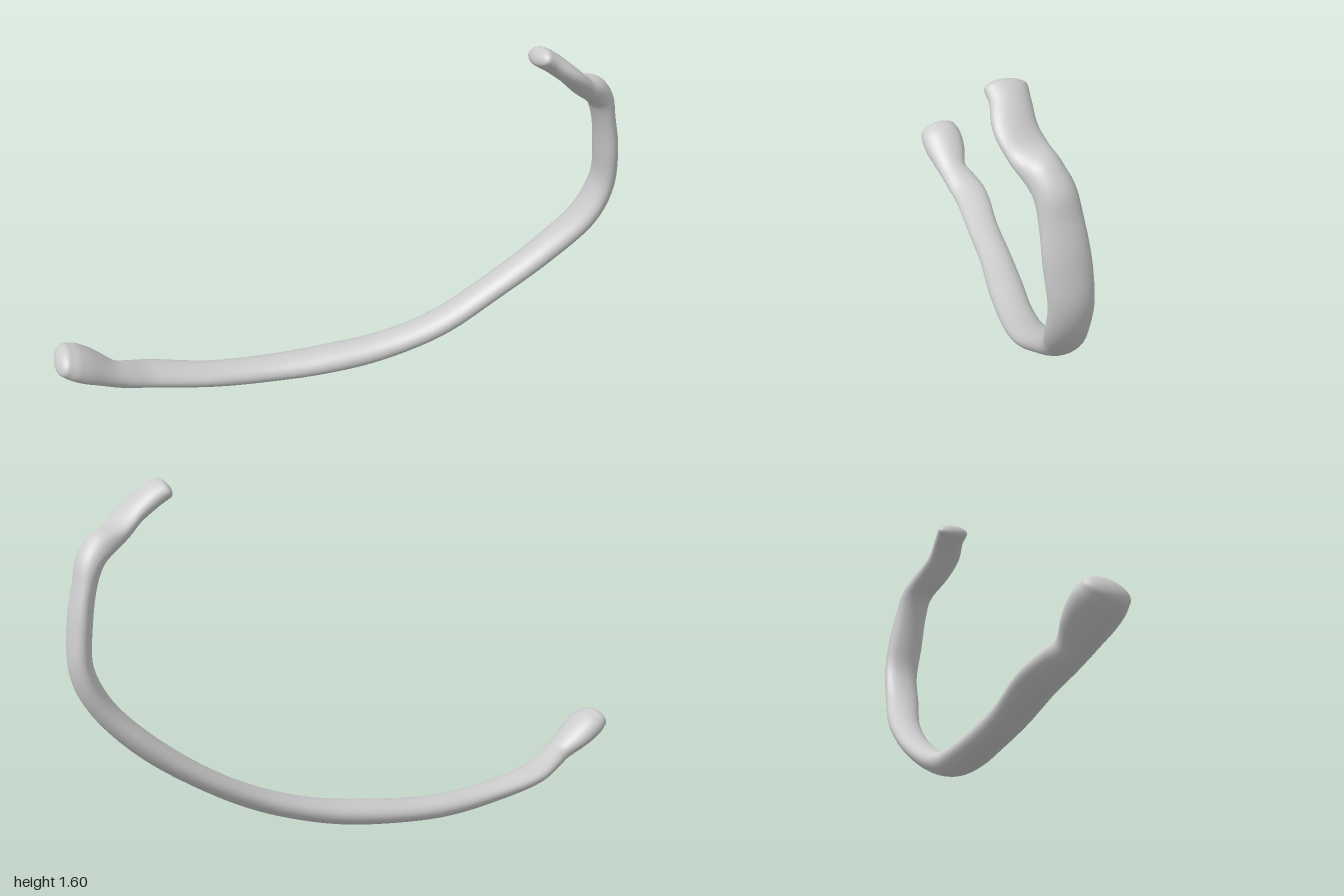
import * as THREE from 'three';

// Stations along the bone: centre x, y, z, then inner, outer and sideways half sizes
const STATIONS = [
  [-0.95, 0.30, -0.755, 0.058, 0.058, 0.095],
  [-0.91, 0.273, -0.735, 0.068, 0.062, 0.105],
  [-0.85, 0.23, -0.70, 0.062, 0.056, 0.098],
  [-0.77, 0.176, -0.65, 0.046, 0.050, 0.072],
  [-0.70, 0.147, -0.625, 0.043, 0.046, 0.078],
  [-0.60, 0.113, -0.585, 0.043, 0.044, 0.084],
  [-0.40, 0.067, -0.432, 0.045, 0.048, 0.076],
  [-0.20, 0.052, -0.275, 0.049, 0.049, 0.076],
  [0.00, 0.072, -0.09, 0.056, 0.054, 0.082],
  [0.20, 0.122, 0.10, 0.052, 0.053, 0.078],
  [0.40, 0.22, 0.28, 0.046, 0.050, 0.077],
  [0.60, 0.365, 0.43, 0.050, 0.050, 0.076],
  [0.785, 0.56, 0.60, 0.050, 0.050, 0.080],
  [0.885, 0.74, 0.725, 0.048, 0.052, 0.085],
  [0.93, 0.90, 0.772, 0.047, 0.052, 0.085],
  [0.915, 1.07, 0.782, 0.047, 0.045, 0.088],
  [0.88, 1.22, 0.775, 0.047, 0.046, 0.080],
  [0.84, 1.315, 0.762, 0.046, 0.062, 0.076],
  [0.785, 1.365, 0.75, 0.043, 0.068, 0.076],
  [0.71, 1.415, 0.735, 0.042, 0.042, 0.083],
  [0.64, 1.475, 0.715, 0.040, 0.038, 0.085],
  [0.575, 1.535, 0.66, 0.040, 0.044, 0.078],
  [0.535, 1.565, 0.632, 0.040, 0.042, 0.082],
];

const ROWS = 150, SIDES = 28, DOME = 7;

function sweptBone() {
  const centre = new THREE.CatmullRomCurve3(STATIONS.map(s => new THREE.Vector3(s[0], s[1], s[2])));
  const size = new THREE.CatmullRomCurve3(STATIONS.map(s => new THREE.Vector3(s[3], s[4], s[5])), false, 'catmullrom', 0.5);
  const bowNormal = new THREE.Vector3(-0.607, -0.128, 0.784);
  const neckNormal = new THREE.Vector3(-0.2, -0.1, 0.97);
  const positions = [], indices = [];

  // One oval ring, scaled and pushed along the bone for the rounded ends
  function ring(t, scale, push) {
    const p = centre.getPoint(t), s = size.getPoint(t), along = centre.getTangent(t);
    const side = bowNormal.clone().lerp(neckNormal, THREE.MathUtils.smoothstep(t, 0.74, 0.9));
    side.addScaledVector(along, -side.dot(along)).normalize();
    const out = along.clone().cross(side);
    // Gentle unevenness of the shaft
    const wave = 1 + 0.025 * Math.sin(t * 47) + 0.018 * Math.sin(t * 83 + 1);
    p.addScaledVector(along, push);
    for (let j = 0; j < SIDES; j++) {
      const a = j / SIDES * Math.PI * 2, c = Math.cos(a);
      const v = p.clone()
        .addScaledVector(out, c * (c > 0 ? s.y : s.x) * scale * wave)
        .addScaledVector(side, Math.sin(a) * s.z * scale);
      positions.push(v.x, Math.max(0, v.y), v.z);
    }
  }

  // Sternal end dome, shaft, head dome
  for (let k = 0; k < DOME; k++) {
    const a = k / DOME * Math.PI / 2;
    ring(0, Math.max(Math.sin(a), 0.001), -0.04 * Math.cos(a));
  }
  for (let i = 0; i <= ROWS; i++) ring(i / ROWS, 1, 0);
  for (let k = DOME - 1; k >= 0; k--) {
    const a = k / DOME * Math.PI / 2;
    ring(1, Math.max(Math.sin(a), 0.001), 0.03 * Math.cos(a));
  }

  const rings = positions.length / 3 / SIDES;
  for (let i = 0; i < rings - 1; i++) {
    for (let j = 0; j < SIDES; j++) {
      const a = i * SIDES + j, b = i * SIDES + (j + 1) % SIDES;
      indices.push(a, a + SIDES, b, b, a + SIDES, b + SIDES);
    }
  }
  const geometry = new THREE.BufferGeometry();
  geometry.setAttribute('position', new THREE.Float32BufferAttribute(positions, 3));
  geometry.setIndex(indices);
  geometry.computeVertexNormals();
  return geometry;
}

export function createModel() {
  const group = new THREE.Group();
  group.name = 'rib';
  const bone = new THREE.Mesh(sweptBone(), new THREE.MeshStandardMaterial({ color: 0xcccccc, roughness: 0.8 }));
  bone.name = 'ribBone';
  group.add(bone);
  return group;
}
